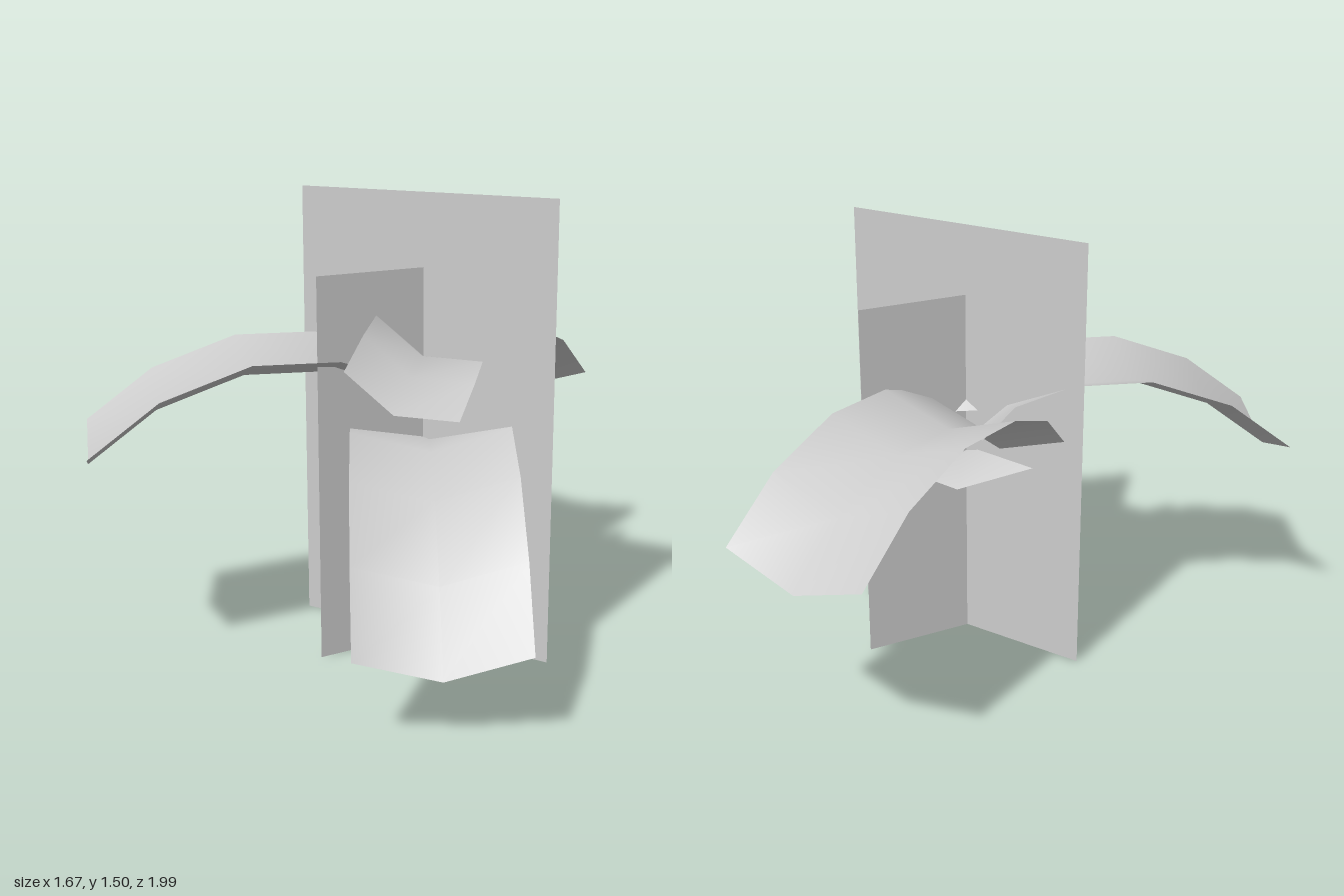
import * as THREE from 'three';

const material = new THREE.MeshStandardMaterial({ color: 0xcccccc, side: THREE.DoubleSide });
const rad = THREE.MathUtils.degToRad;

// Arching blade, start to tip: [distance, height] of its outer edges
const PROFILE = [[0, 0], [0.11, 0.11], [0.30, 0.17], [0.57, 0.17], [0.85, 0.07], [1.07, -0.095]];
const WIDTH = 0.514;
const FOLD = 0.083; // depth of the centre crease

function leafGeometry() {
  const geo = new THREE.PlaneGeometry(WIDTH, 1, 2, PROFILE.length - 1);
  const pos = geo.attributes.position;
  for (let i = 0; i < pos.count; i++) {
    const [z, y] = PROFILE[Math.floor(i / 3)];
    pos.setXYZ(i, pos.getX(i), y - (i % 3 === 1 ? FOLD : 0), z);
  }
  geo.computeVertexNormals();
  return geo;
}

// Upright flat card standing on the ground
function card(name, width, height, yaw) {
  const geo = new THREE.PlaneGeometry(width, height).translate(0, height / 2, 0);
  const mesh = new THREE.Mesh(geo, material);
  mesh.name = name;
  mesh.position.set(0.15, 0, 0.075);
  mesh.rotation.y = rad(yaw);
  return mesh;
}

export function createModel() {
  const plant = new THREE.Group();
  plant.name = 'plant';

  // Crossed stem cards
  plant.add(card('wideStemCard', 0.94, 1.5, 0));
  plant.add(card('narrowStemCard', 0.78, 1.26, 62.4));

  // Drooping leaves: start point, yaw, pitch, roll (degrees), scale
  const blade = leafGeometry();
  const leaves = [
    ['rightLeaf', [0.126, 0.842, 0.069], -46.5, 0, 0, 1],
    ['backLeaf', [0.005, 0.82, 0.07], 180, 0, 0, 1],
    ['lowLeftLeaf', [0.09, 0.70, -0.06], 32.5, 18, 1.5, 1],
    ['smallUpperLeaf', [0.115, 0.907, 0.055], 29, -11.7, -23, 0.68],
  ];
  for (const [name, start, yaw, pitch, roll, scale] of leaves) {
    const leaf = new THREE.Mesh(blade, material);
    leaf.name = name;
    leaf.position.set(...start);
    leaf.rotation.set(rad(pitch), rad(yaw), rad(roll), 'YXZ');
    leaf.scale.setScalar(scale);
    plant.add(leaf);
  }
  return plant;
}
